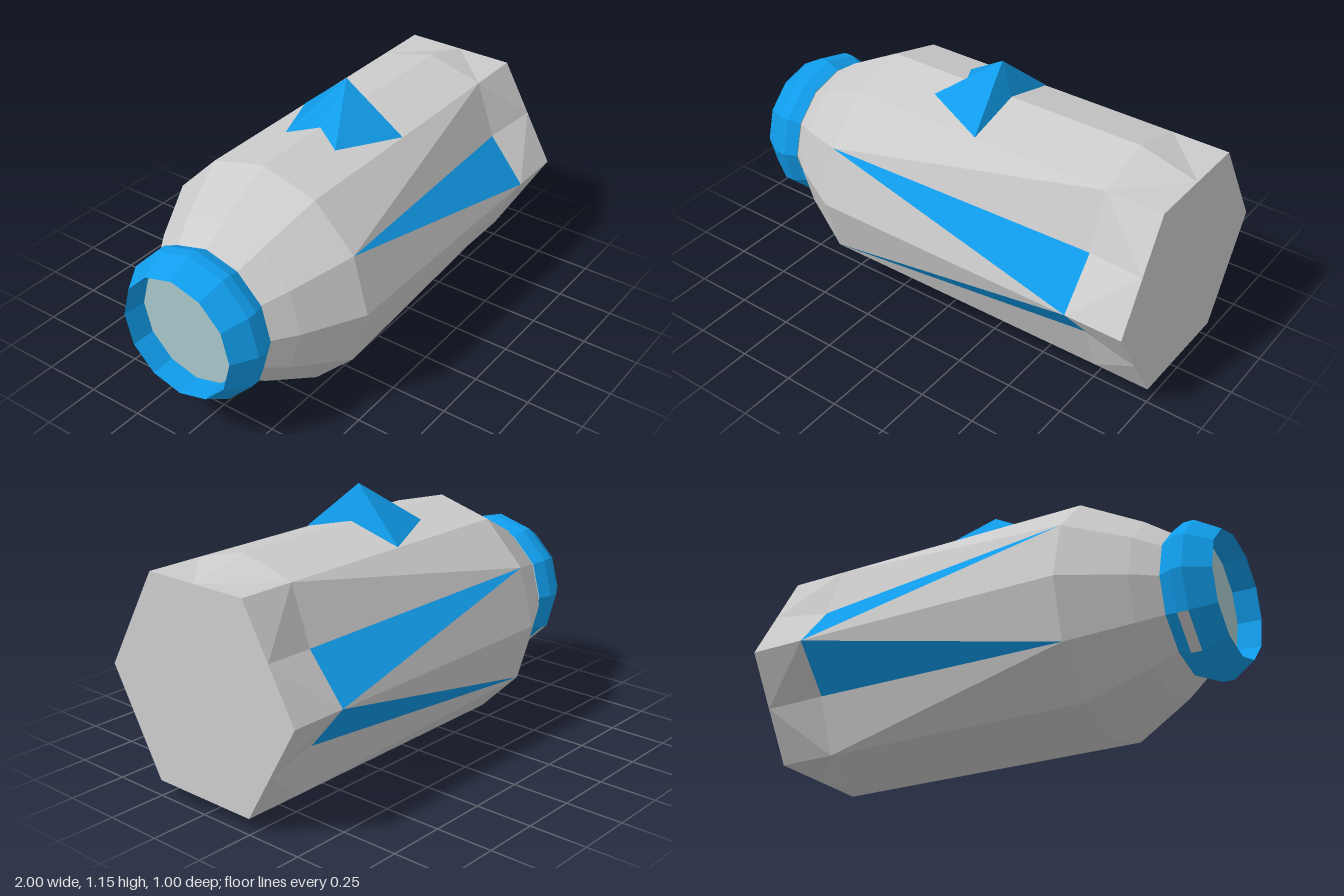
import * as THREE from 'three';

const SIDES = 12;
const BLUE = 0x109cea;

function makeMesh(name, points, color) {
  const g = new THREE.BufferGeometry();
  g.setAttribute('position', new THREE.Float32BufferAttribute(points.flatMap((p) => p.toArray()), 3));
  g.computeVertexNormals();
  const m = new THREE.Mesh(g, new THREE.MeshStandardMaterial({ color, flatShading: true, side: THREE.DoubleSide }));
  m.name = name;
  return m;
}

// A point on a ring around the x axis; step 0 faces +z, step 3 is the top
function ringPoint(x, r, i) {
  const a = (i % SIDES) * Math.PI * 2 / SIDES;
  return new THREE.Vector3(x, 0.5 + r * Math.sin(a), r * Math.cos(a));
}

// Skins a list of rings; each(tri, section, side, half) receives every triangle.
// The diagonals mirror from one side to the next, and flip where flip(section) is true.
function skin(rings, each, flip = () => false) {
  for (let k = 0; k < rings.length - 1; k++) {
    for (let i = 0; i < SIDES; i++) {
      const a = rings[k][i], b = rings[k + 1][i];
      const c = rings[k + 1][(i + 1) % SIDES], d = rings[k][(i + 1) % SIDES];
      const forward = (i % 2 === 1) !== flip(k);
      each(forward ? [a, b, c] : [b, c, d], k, i, 'far');
      each(forward ? [a, c, d] : [a, b, d], k, i, 'near');
    }
  }
}

const makeRing = (x, radius) =>
  Array.from({ length: SIDES }, (_, i) => ringPoint(x, typeof radius === 'function' ? radius(i) : radius, i));

export function createModel() {
  const group = new THREE.Group();

  // Body: twelve-sided barrel, pinched along the sides, ending in a hexagon
  const pinched = (i) => (i % 2 === 1 && i % 6 !== 3 ? 0.39 : 0.5);
  const hexagon = (i) => (i % 2 === 1 ? 0.433 : 0.5);
  const rings = [
    makeRing(-0.8, 0.295), makeRing(-0.7, 0.366), makeRing(-0.45, 0.5),
    makeRing(0.75, pinched), makeRing(1, hexagon),
  ];
  rings[3][9].x = 0.8;
  const shell = [], stripes = [];
  skin(rings, (tri, k, i, half) => {
    const striped = k === 2 && half === 'far' && [0, 5, 6, 11].includes(i);
    (striped ? stripes : shell).push(...tri);
  }, (k) => k === 3);

  // Flat hexagonal end
  const end = rings[4], middle = new THREE.Vector3(1, 0.5, 0);
  end.forEach((p, i) => shell.push(middle, end[(i + 1) % SIDES], p));
  group.add(makeMesh('body', shell, 0xcccccc));
  group.add(makeMesh('sideStripes', stripes, BLUE));

  // Collar: bevelled ring with a shallow recess, one grey panel underneath
  const collarRings = [
    makeRing(-0.9, 0.255), makeRing(-1, 0.265), makeRing(-0.9, 0.325),
    makeRing(-0.855, 0.325), makeRing(-0.8, 0.3),
  ];
  const collar = [], panel = [];
  skin(collarRings, (tri, k, i) => (k === 2 && i === 7 ? panel : collar).push(...tri));
  group.add(makeMesh('collar', collar, BLUE));
  group.add(makeMesh('collarPanel', panel, 0xcccccc));

  // Lens set into the collar
  const lens = [], rim = collarRings[0], hub = new THREE.Vector3(-0.9, 0.5, 0);
  rim.forEach((p, i) => lens.push(hub, p, rim[(i + 1) % SIDES]));
  group.add(makeMesh('lens', lens, 0xa8c6ca));

  // Sight: swept fin on the top ridge, mirrored across z
  const fin = [];
  for (const s of [1, -1]) {
    const apex = new THREE.Vector3(0.1, 1.15, 0);
    const notch = new THREE.Vector3(-0.08, 1, 0);
    const tip = new THREE.Vector3(-0.15, 0.968, s * 0.125);
    const corner = new THREE.Vector3(0.147, 0.935, s * 0.25);
    const rear = new THREE.Vector3(0.147, 1, 0);
    for (const [a, b, c] of [[apex, tip, corner], [apex, notch, tip], [apex, corner, rear]]) {
      fin.push(...(s > 0 ? [a, b, c] : [a, c, b]));
    }
  }
  group.add(makeMesh('topFin', fin, BLUE));

  return group;
}
